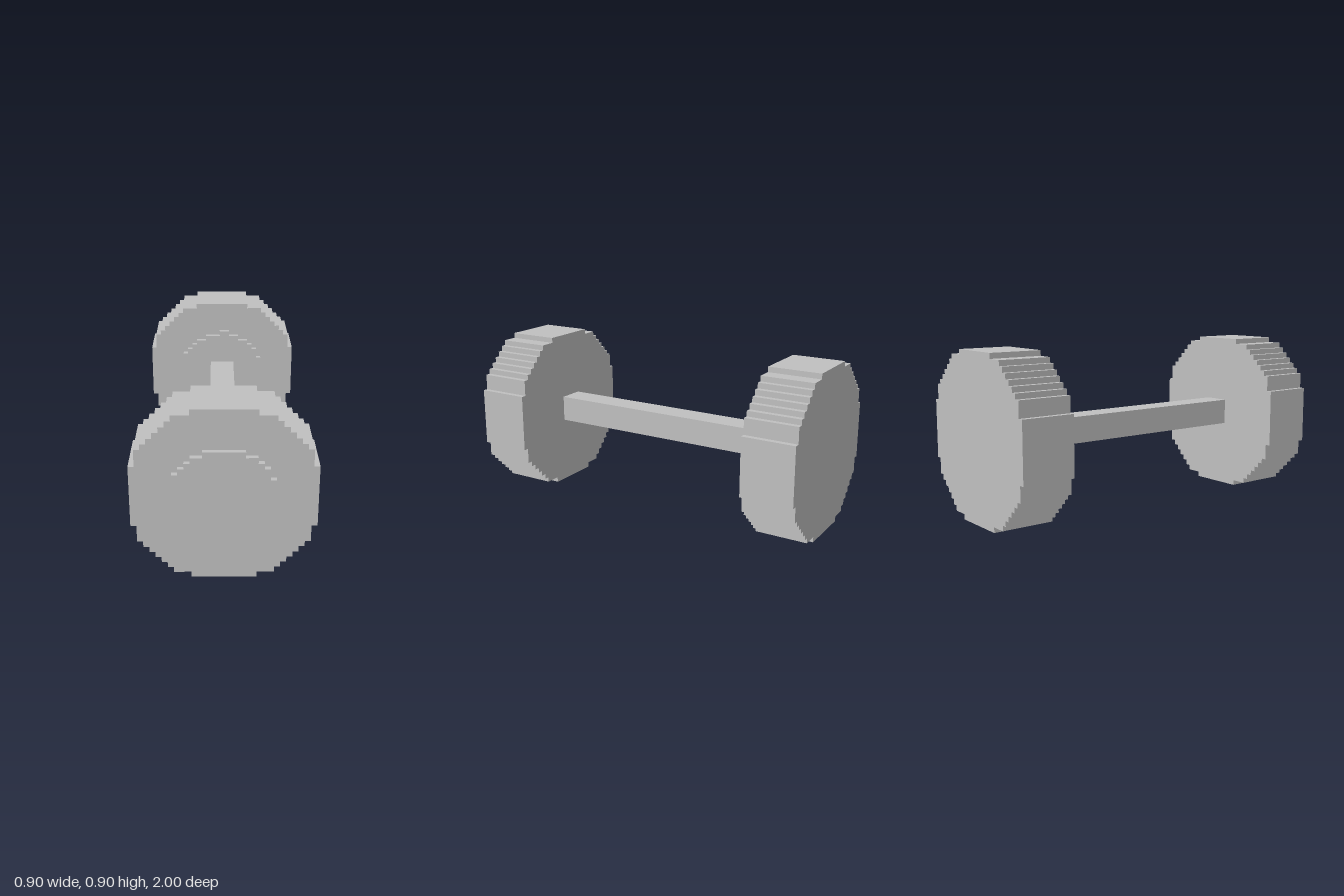
import * as THREE from 'three';

const U = 0.02915; // size of one block step

// Rows are [bottom, top, left, right] in block steps, listed upwards.
// The outline climbs the right side and comes back down the left.
function steppedPlate(rows, zBack, zFront, material, name) {
  const right = rows.flatMap(([b, t, , r]) => [[r, b], [r, t]]);
  const left = rows.flatMap(([b, t, l]) => [[l, b], [l, t]]).reverse();
  const points = [...right, ...left].map(([x, y]) => new THREE.Vector2(x * U, y * U));
  const geometry = new THREE.ExtrudeGeometry(new THREE.Shape(points), {
    depth: zFront - zBack, bevelEnabled: false,
  });
  geometry.translate(0, 0, zBack);
  const mesh = new THREE.Mesh(geometry, material);
  mesh.name = name;
  return mesh;
}

export function createModel() {
  const group = new THREE.Group();
  group.name = 'dumbbell';
  const grey = new THREE.MeshStandardMaterial({ color: 0xc0c0c0 });
  grey.name = 'light grey';

  // Weight outline: lower half steps, mirrored to the upper half
  const lower = [
    [0, 1, 5.5], [1, 2, 8.5], [2, 3, 9.5], [3, 4, 10.5], [4, 5, 11.5],
    [5, 6, 12.5], [6, 7, 13.5], [7, 10, 14.5],
  ];
  const upper = lower.map(([b, t, h]) => [31 - t, 31 - b, h]).reverse();
  const weightRows = [...lower, [10, 21, 15.5], ...upper].map(([b, t, h]) => [b, t, -h, h]);

  // Slightly irregular round boss, shared by the front cap and rear collar
  const bossRows = [
    [7, 8, -3.5, 4.5], [8, 9, -5.5, 5.5], [9, 10, -6.5, 6.5], [10, 12, -7.5, 7.5],
    [12, 19, -8.5, 8.5], [19, 20, -8.5, 7.5], [20, 21, -7.5, 7.5],
    [21, 22, -6.5, 6.5], [22, 23, -5.5, 5.5], [23, 24, -3.5, 3.5],
  ];
  const collarRows = [...bossRows, [24, 25, -0.5, 1.5]];

  group.add(
    steppedPlate(weightRows, 0.681, 0.972, grey, 'frontWeight'),
    steppedPlate(bossRows, 0.972, 1, grey, 'frontCap'),
    steppedPlate(weightRows, -1, -0.709, grey, 'rearWeight'),
    steppedPlate(collarRows, -0.709, -0.679, grey, 'rearCollar'),
  );

  // Square handle bar
  const handle = new THREE.Mesh(new THREE.BoxGeometry(5 * U, 5 * U, 1.36), grey);
  handle.position.set(0, 15.5 * U, 0.001);
  handle.name = 'handle';
  group.add(handle);

  return group;
}
